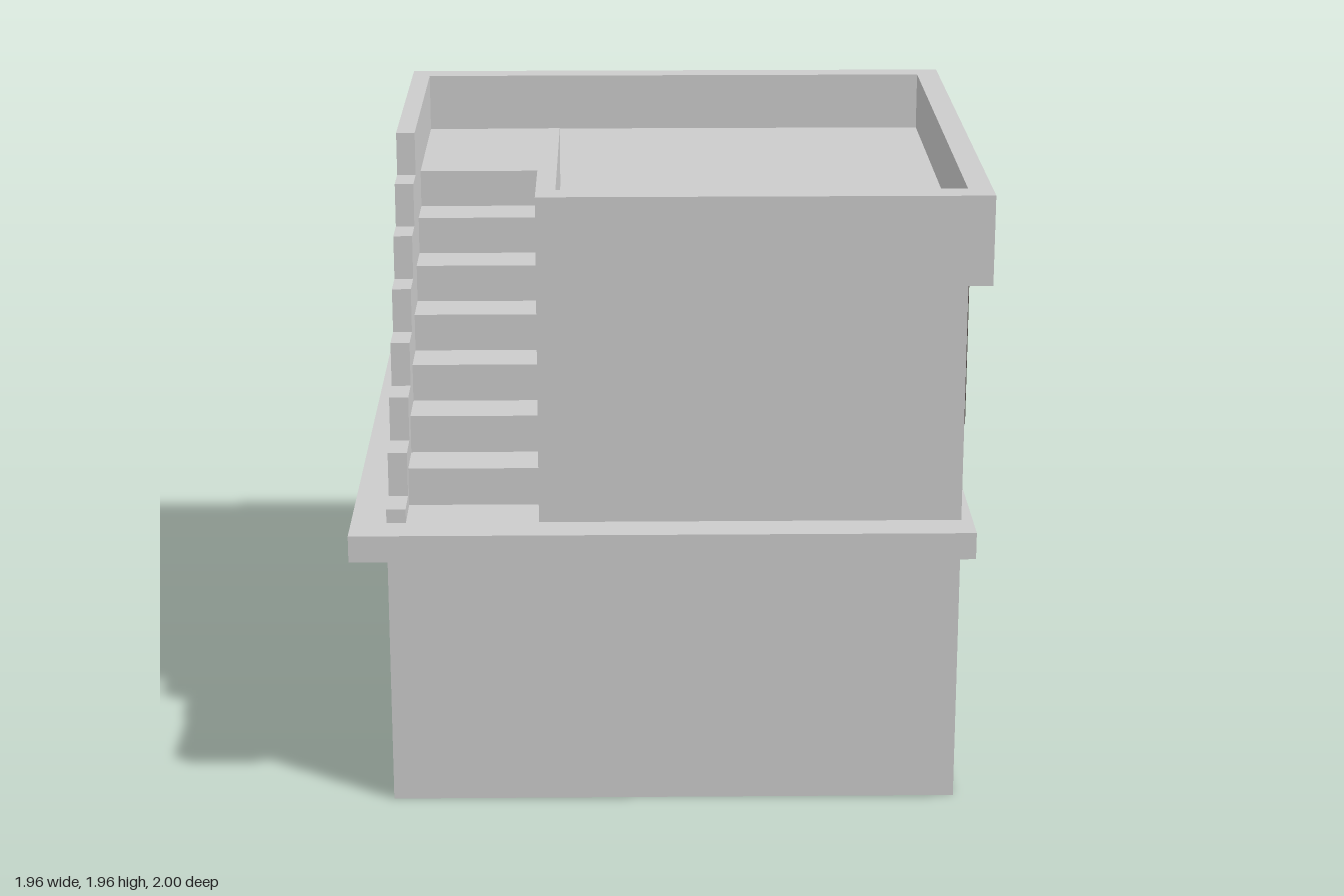
import * as THREE from 'three';

const wall = new THREE.MeshStandardMaterial({ color: 0xcccccc });
const frameBrown = new THREE.MeshStandardMaterial({ color: 0x57504c });
const boxBrown = new THREE.MeshStandardMaterial({ color: 0x746b64 });
const pipeRed = new THREE.MeshStandardMaterial({ color: 0x7a2c26 });

// Box given by its two limits along each axis
function block(name, [x0, x1], [y0, y1], [z0, z1], material = wall) {
  const mesh = new THREE.Mesh(new THREE.BoxGeometry(x1 - x0, y1 - y0, z1 - z0), material);
  mesh.position.set((x0 + x1) / 2, (y0 + y1) / 2, (z0 + z1) / 2);
  mesh.name = name;
  return mesh;
}

function extrude(points, depth) {
  const shape = new THREE.Shape(points.map(([a, b]) => new THREE.Vector2(a, b)));
  return new THREE.ExtrudeGeometry(shape, { depth, bevelEnabled: false });
}

// Floor plan of [x, z] corners raised from y0 to y1
function plan(name, points, y0, y1) {
  const geometry = extrude(points.map(([x, z]) => [x, -z]), y1 - y0);
  geometry.rotateX(-Math.PI / 2).translate(0, y0, 0);
  const mesh = new THREE.Mesh(geometry, wall);
  mesh.name = name;
  return mesh;
}

// Side profile of [z, y] corners widened from x0 to x1
function profile(name, points, x0, x1) {
  const geometry = extrude(points.map(([z, y]) => [-z, y]), x1 - x0);
  geometry.rotateY(Math.PI / 2).translate(x0, 0, 0);
  const mesh = new THREE.Mesh(geometry, wall);
  mesh.name = name;
  return mesh;
}

// Window frame with a wide central mullion
function makeWindow(zMid) {
  const group = new THREE.Group();
  group.name = 'window';
  const w = 0.205, bar = 0.017, y0 = 1.15, y1 = 1.605, x = [0.905, 0.94];
  for (const s of [-1, 1]) {
    const z = zMid + s * (w - bar / 2);
    group.add(block('frameSide', x, [y0, y1], [z - bar / 2, z + bar / 2], frameBrown));
  }
  const inner = [zMid - w + bar, zMid + w - bar];
  group.add(block('frameBottom', x, [y0, y0 + bar], inner, frameBrown));
  group.add(block('frameTop', x, [y1 - bar, y1], inner, frameBrown));
  group.add(block('mullion', x, [y0 + bar, y1 - bar], [zMid - 0.02, zMid + 0.02], frameBrown));
  return group;
}

export function createModel() {
  const model = new THREE.Group();
  model.name = 'house';
  const base = 0.93, roof = 1.77, top = 1.96;
  const back = -0.97, front = 0.88;

  // Ground floor and projecting slab
  model.add(block('groundFloor', [-0.87, 0.905], [0, 0.845], [back, front]));
  model.add(block('floorSlab', [-0.98, 0.94], [0.845, base], [-1, 1]));

  // Upper floor, notched for the staircase
  model.add(plan('upperFloor', [
    [-0.81, back], [-0.81, -0.25], [-0.4, -0.25], [-0.4, front], [0.905, front], [0.905, back],
  ], base, roof));

  // Roof parapet and its overhang on the window side
  model.add(plan('parapet', [
    [-0.81, back], [-0.81, -0.885], [0.905, -0.885], [0.905, 0.79], [-0.34, 0.79],
    [-0.34, -0.05], [-0.4, -0.05], [-0.4, front], [0.98, front], [0.98, back],
  ], roof, top));
  model.add(block('parapetOverhang', [0.905, 0.98], [1.68, roof], [back, front]));

  // Staircase up to the roof
  const stairs = [[-0.25, base]];
  for (let i = 0; i < 6; i++) {
    const z = -0.25 + i * 0.161, y = 1.65 - i * 0.12;
    stairs.push([z, y], [z + 0.161, y]);
  }
  stairs.push([0.716, base]);
  model.add(profile('staircase', stairs, -0.81, -0.4));

  // Side wall stepping down along the stairs
  const sideWall = [[back, base], [back, top], [0.01, top]];
  for (let i = 0; i < 7; i++) {
    const z = 0.01 + i * 0.1243, y = 1.82 - i * 0.141;
    sideWall.push([z, y], [z + 0.1243, y]);
  }
  sideWall.push([front, base]);
  model.add(profile('steppedSideWall', sideWall, -0.87, -0.81));

  // Windows
  for (const z of [0.393, -0.287]) model.add(makeWindow(z));

  // Meter boxes and drainpipe
  for (const z of [-0.102, -0.335, -0.567]) {
    model.add(block('meterBox', [0.905, 0.968], [0.315, 0.53], [z - 0.075, z + 0.075], boxBrown));
  }
  model.add(block('drainpipe', [0.905, 0.943], [0, 0.845], [-0.745, -0.69], pipeRed));

  return model;
}
